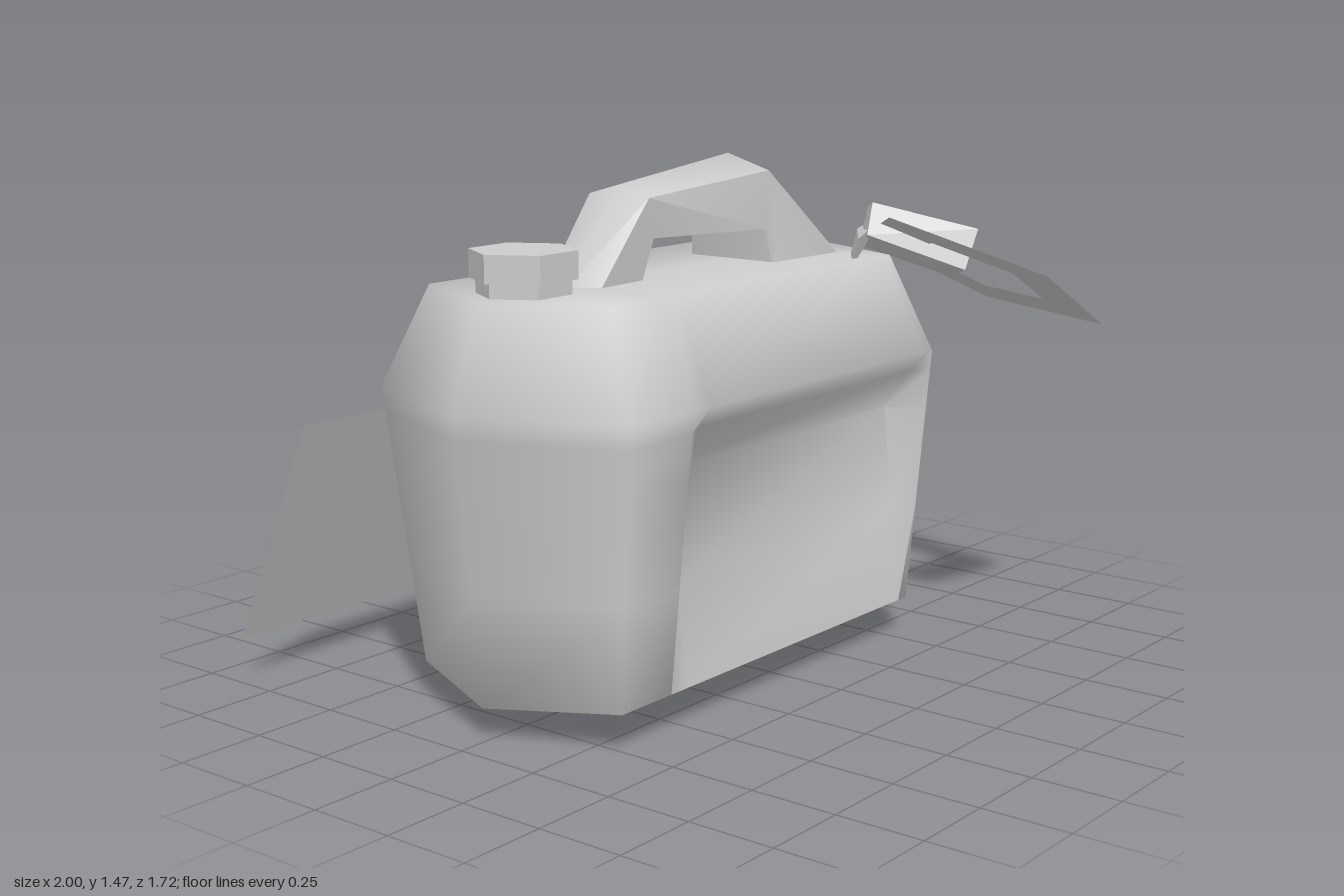
import * as THREE from 'three';
import { toCreasedNormals } from 'three/addons/utils/BufferGeometryUtils.js';
import { ConvexGeometry } from 'three/addons/geometries/ConvexGeometry.js';

const grey = new THREE.MeshStandardMaterial({ color: 0xcccccc });
const flat = new THREE.MeshStandardMaterial({ color: 0xcccccc, flatShading: true });
const thin = new THREE.MeshStandardMaterial({ color: 0xcccccc, side: THREE.DoubleSide });

// Skin a list of closed cross-sections (arrays of Vector3 of equal length)
function loft(sections, crease = 1.3) {
  const pos = [];
  const n = sections[0].length;
  const tri = (a, b, c) => {
    const area = b.clone().sub(a).cross(c.clone().sub(a)).length();
    if (area > 1e-6) for (const p of [a, b, c]) pos.push(p.x, p.y, p.z);
  };
  for (let i = 0; i < sections.length - 1; i++) {
    for (let j = 0; j < n; j++) {
      const k = (j + 1) % n;
      tri(sections[i][j], sections[i][k], sections[i + 1][k]);
      tri(sections[i][j], sections[i + 1][k], sections[i + 1][j]);
    }
  }
  const g = new THREE.BufferGeometry();
  g.setAttribute('position', new THREE.Float32BufferAttribute(pos, 3));
  return toCreasedNormals(g, crease);
}

const points = (list) => list.map((p) => new THREE.Vector3(...p));

function add(parent, name, geometry, material) {
  const mesh = new THREE.Mesh(geometry, material);
  mesh.name = name;
  parent.add(mesh);
  return mesh;
}

// One six-sided ring of the can, with four extra points for the front recess
function bodyRing({ y, tipY = y, left, right, cornerL, cornerR, front, back, dent = 0 }) {
  return points([
    [cornerL, y, front],
    [-0.57, y, front],
    [-0.5, y, front - dent],
    [Math.min(0.52, cornerR - 0.03), y, front - dent],
    [cornerR, y, front],
    [right, tipY, -0.01],
    [cornerR, y, back],
    [cornerL, y, back],
    [left, tipY, -0.01],
  ]);
}

function makeBody() {
  const low = { y: 0.11, left: -0.91, right: 0.65, cornerL: -0.77, cornerR: 0.56, front: 0.35, back: -0.36 };
  const wide = { y: 0.88, left: -1, right: 0.73, cornerL: -0.82, cornerR: 0.56, front: 0.425, back: -0.45 };
  const between = (y, dent) => {
    const t = (y - low.y) / (wide.y - low.y);
    const ring = { dent };
    for (const key in low) ring[key] = THREE.MathUtils.lerp(low[key], wide[key], t);
    return bodyRing(ring);
  };
  const bottom = bodyRing({ ...low, tipY: 0.088 });
  const top = bodyRing({ y: 1.16, left: -0.9, right: 0.63, cornerL: -0.75, cornerR: 0.5, front: 0.31, back: -0.33 });
  // End rings collapse to the keel underneath and to a centre line on top
  const keel = bottom.map((p) => new THREE.Vector3(p.x < -0.4 ? -0.58 : -0.3, 0, -0.01));
  const crown = top.map((p) => new THREE.Vector3(THREE.MathUtils.clamp(p.x, -0.57, 0.4), 1.16, -0.01));
  return loft([keel, bottom, between(0.4, 0.06), between(0.7, 0.12), between(0.82, 0.04), bodyRing(wide), top, crown]);
}

// Handle stations: outer x, y, inner x, y, half width
function makeHandle() {
  const stations = [
    [-0.6, 1.13, -0.36, 1.13, 0.095],
    [-0.35, 1.41, -0.31, 1.27, 0.105],
    [0.14, 1.465, 0.14, 1.255, 0.145],
    [0.6, 1.11, 0.165, 1.11, 0.17],
  ];
  return loft(stations.map(([ox, oy, ix, iy, w]) => {
    const at = (t, z) => [ox + (ix - ox) * t, oy + (iy - oy) * t, z - 0.012];
    return points([at(0, 0), at(0.2, w), at(1, w * 0.9), at(1, -w * 0.9), at(0.2, -w)]);
  }), 1.2);
}

// Flat five-sided ring around the nozzle
function makeCollar() {
  const outer = points([
    [0.64, 1.19, 0.12], [1.0, 0.98, 0.35], [0.88, 0.955, 0.81], [0.45, 1.15, 0.86], [0.31, 1.295, 0.43],
  ]);
  const centre = new THREE.Vector3();
  outer.forEach((p) => centre.addScaledVector(p, 1 / outer.length));
  const inner = outer.map((p) => centre.clone().lerp(p, 0.53));
  return loft([outer, inner]);
}

export function createModel() {
  const model = new THREE.Group();
  model.name = 'wateringCan';

  add(model, 'body', makeBody(), grey);
  add(model, 'handle', makeHandle(), grey);

  // Filler neck and hexagonal cap
  const cap = new THREE.Group();
  cap.name = 'fillerCap';
  cap.position.set(-0.72, 0, -0.015);
  for (const [name, r, y0, y1] of [['neck', 0.128, 1.14, 1.205], ['cap', 0.145, 1.2, 1.275]]) {
    const g = new THREE.CylinderGeometry(r, r, y1 - y0, 6);
    g.rotateY(Math.PI / 2);
    g.translate(0, (y0 + y1) / 2, 0);
    add(cap, name, g, flat);
  }
  model.add(cap);

  // Spout: stem, flared nozzle and flat collar
  const spout = new THREE.Group();
  spout.name = 'spout';
  add(spout, 'stem', new ConvexGeometry(points([
    [0.35, 1.22, 0.3], [0.49, 1.23, 0.2], [0.52, 1.27, 0.26], [0.43, 1.27, 0.32],
    [0.36, 1.1, 0.25], [0.48, 1.1, 0.17],
  ])), flat);
  add(spout, 'nozzle', new ConvexGeometry(points([
    [0.42, 1.32, 0.3], [0.5, 1.295, 0.23], [0.44, 1.19, 0.24], [0.38, 1.23, 0.31],
    [0.595, 1.245, 0.55], [0.755, 1.19, 0.385], [0.68, 1.085, 0.41], [0.545, 1.13, 0.54],
  ])), flat);
  add(spout, 'collar', makeCollar(), thin);
  model.add(spout);

  // Loose leaning panel behind the can
  const dy = 0.655, dz = 0.3;
  const panel = add(model, 'backPanel', new THREE.PlaneGeometry(1.12, Math.hypot(dy, dz)), thin);
  panel.position.set(-0.44, 0.13 + dy / 2, -0.71);
  panel.rotation.x = Math.atan2(dz, dy);

  return model;
}
